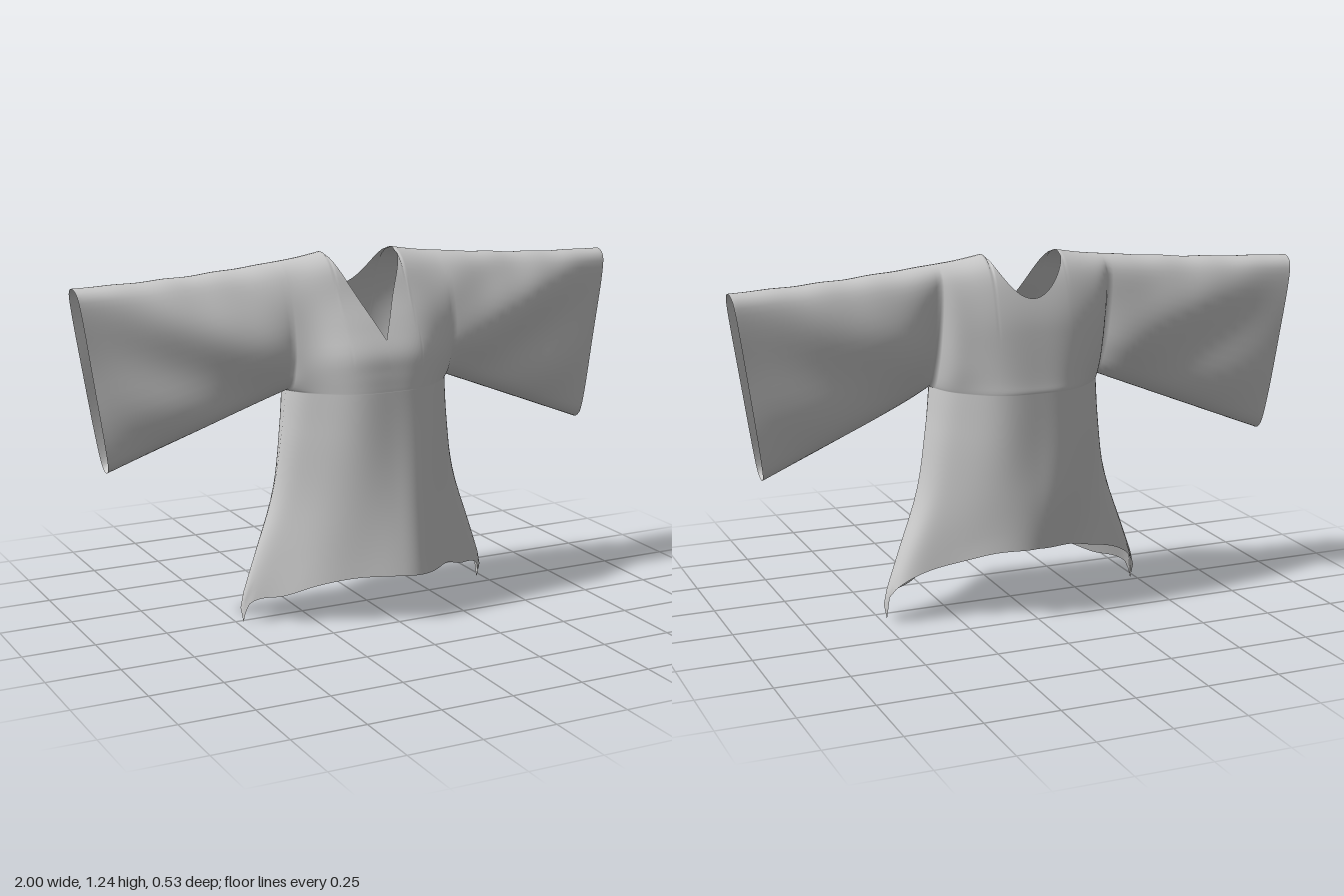
import * as THREE from 'three';

const lerp = THREE.MathUtils.lerp;
const ARMPIT = 0.79, SIDE = 0.3, ROWS = 24;

// Smooth function through a few [input, value] points
function curve(pts) {
  const n = pts.length - 1;
  const slope = i => {
    const a = pts[Math.max(i - 1, 0)], b = pts[Math.min(i + 1, n)];
    return (b[1] - a[1]) / (b[0] - a[0]);
  };
  return x => {
    if (x <= pts[0][0]) return pts[0][1];
    if (x >= pts[n][0]) return pts[n][1];
    let i = 0;
    while (x > pts[i + 1][0]) i++;
    const [x0, y0] = pts[i], [x1, y1] = pts[i + 1], h = x1 - x0, t = (x - x0) / h;
    return y0 * (1 + 2 * t) * (1 - t) ** 2 + y1 * t * t * (3 - 2 * t)
      + h * (slope(i) * t * (1 - t) ** 2 + slope(i + 1) * t * t * (t - 1));
  };
}

// Height fraction for a section parameter q: rounds the fold at both ends
const rise = q => (1 - Math.cos(Math.PI * q)) / 2;
const unrise = t => Math.acos(1 - 2 * Math.min(Math.max(t, 0), 1)) / Math.PI;

// Outline of the body
const halfWidth = curve([[0, 0.477], [0.06, 0.484], [0.2, 0.435], [0.43, 0.352], [0.65, 0.315], [ARMPIT, SIDE]]);
const ridge = curve([[0.13, 1.237], [0.22, 1.222], [SIDE, 1.213]]);

// Depth profiles: middle and armhole above the armpit (by q), middle and flank below (by y)
const panels = {
  front: {
    mid: curve([[0, 0.19], [0.12, 0.1885], [0.25, 0.183], [0.36, 0.171], [0.48, 0.125], [0.63, 0.06], [0.82, 0], [1, -0.08]]),
    armhole: curve([[0, -0.01], [0.15, 0.045], [0.25, 0.068], [0.4, 0.085], [0.6, 0.06], [0.8, 0], [1, -0.08]]),
    cuff: curve([[0, -0.1], [0.15, -0.062], [0.5, -0.055], [0.85, -0.062], [1, -0.11]]),
    lower: curve([[0.16, 0.255], [0.4, 0.23], [ARMPIT, 0.19]]),
    flank: curve([[0.05, 0.015], [0.4, 0.03], [ARMPIT, 0.068]]),
    hem: curve([[0, 0.165], [0.3, 0.158], [0.55, 0.135], [0.75, 0.095], [0.94, 0.07], [1, 0]]),
    neck: x => 0.96 + 2.05 * x,
    pinch: -0.03,
  },
  back: {
    mid: curve([[0, -0.255], [0.12, -0.2545], [0.48, -0.23], [0.63, -0.205], [0.82, -0.155], [1, -0.08]]),
    armhole: curve([[0, -0.01], [0.15, -0.09], [0.25, -0.13], [0.4, -0.17], [0.6, -0.18], [0.8, -0.15], [1, -0.08]]),
    cuff: curve([[0, -0.1], [0.15, -0.135], [0.5, -0.158], [0.85, -0.158], [1, -0.11]]),
    lower: curve([[0.25, -0.24], [0.45, -0.258], [ARMPIT, -0.255]]),
    flank: curve([[0.05, -0.07], [0.4, -0.09], [ARMPIT, -0.13]]),
    hem: curve([[0, 0.25], [0.3, 0.24], [0.55, 0.205], [0.8, 0.165], [0.93, 0.12], [0.98, 0.07], [1, 0]]),
    neck: x => 1.1 + 7.5 * x * x,
    pinch: 0.13,
  },
};

// How far the cloth is drawn in at the armhole seam
const tighten = (p, q) => p.pinch * Math.sin(Math.PI * q) * (1 - q);

// Grid surface from a point function of (u, v) in 0..1
function sheet(nu, nv, point, flip) {
  const pos = [], index = [];
  for (let j = 0; j <= nv; j++)
    for (let i = 0; i <= nu; i++) pos.push(...point(i / nu, j / nv));
  for (let j = 0; j < nv; j++)
    for (let i = 0; i < nu; i++) {
      const a = j * (nu + 1) + i, b = a + 1, c = a + nu + 1, d = c + 1;
      index.push(...(flip ? [a, d, b, a, c, d] : [a, b, d, a, d, c]));
    }
  const geo = new THREE.BufferGeometry();
  geo.setAttribute('position', new THREE.Float32BufferAttribute(pos, 3));
  geo.setIndex(index);
  geo.computeVertexNormals();
  return geo;
}

// Body panel: lower half runs hem to armpit, upper half armpit to shoulder or neckline
function bodyPanel(p, flip) {
  const dir = flip ? -1 : 1;
  return sheet(80, ROWS * 2, (a, v) => {
    const u = a * 2 - 1, e = Math.abs(u);
    // Middle depth eases to the flank, then tucks in sharply at the side seam
    const depth = (mid, flank, seam, power) =>
      lerp(flank, mid, (1 + Math.cos(Math.PI * e ** power)) / 2) + (seam - flank) * e ** 14;
    if (v >= 0.5) {
      const x = e * SIDE, top = ridge(x) - ARMPIT;
      const qTop = e < 0.449 ? unrise((p.neck(x) - ARMPIT) / top) : 1;
      const q = (v * 2 - 1) * qTop, qFlank = Math.sqrt(q * q + 0.0625 * (1 - q * q));
      const seam = p.armhole(q) + tighten(p, q);
      return [u * SIDE, ARMPIT + rise(q) * top, depth(p.mid(q), p.armhole(qFlank), seam, 1.7)];
    }
    const y = lerp(p.hem(e), ARMPIT, Math.sin(v * Math.PI)), x = u * halfWidth(y);
    const k = (ARMPIT - y) / ARMPIT, drape = THREE.MathUtils.smoothstep(k, 0, 0.8);
    // Soft hanging folds that grow toward the hem; the side tails swing apart
    const fold = flip ? 0.01 * Math.sin(x * 15 + y * 6) : 0.028 * Math.sin(x * 14);
    const swing = -0.035 * u * k ** 3;
    const z = depth(p.lower(y), p.flank(y) + swing, swing - 0.01 - 0.01 * k, lerp(1.7, 1.1, drape));
    return [x, y, z + dir * fold * drape * (1 - e * e)];
  }, flip);
}

// Wide sleeve: closed loop around front and back, from armhole to slanted cuff
function sleeve(side) {
  return sheet(40, ROWS * 2, (s, v) => {
    const isFront = v <= 0.5, p = isFront ? panels.front : panels.back;
    const q = isFront ? v * 2 : 2 - v * 2, t = rise(q);
    const low = lerp(ARMPIT, 0.55, s);
    const high = lerp(1.213, 1.17, s) - 0.008 * Math.sin(Math.PI * s) + 0.006 * Math.sin(s * 25) * s * (1 - s);
    const x = lerp(SIDE, lerp(0.91, 1, t), s);
    // Drape folds sweeping up and out from the armpit; the lower part flattens sooner
    const wave = 4 * s * (1 - s) * Math.sin(Math.PI * q) * Math.sin(9 * (t - 0.15 - 0.8 * s));
    const z = lerp(p.armhole(q), p.cuff(q), s ** lerp(0.8, 1.8, t)) + tighten(p, q) * (1 - s) ** 9;
    return [side * x, lerp(low, high, t), z + (isFront ? 0.014 : -0.008) * wave];
  }, side < 0);
}

// Share normals wherever pieces meet so the seams shade smoothly
function blendSeams(geos) {
  const sums = new Map(), v = new THREE.Vector3();
  const each = fn => geos.forEach(g => {
    const p = g.attributes.position;
    for (let i = 0; i < p.count; i++) {
      const key = [p.getX(i), p.getY(i), p.getZ(i)].map(c => Math.round(c * 1e4)).join();
      fn(key, g.attributes.normal, i);
    }
  });
  each((key, n, i) => {
    if (!sums.has(key)) sums.set(key, new THREE.Vector3());
    sums.get(key).add(v.fromBufferAttribute(n, i));
  });
  each((key, n, i) => {
    v.copy(sums.get(key)).normalize();
    n.setXYZ(i, v.x, v.y, v.z);
  });
}

export function createModel() {
  const group = new THREE.Group();
  group.name = 'wideSleevedTunic';
  const cloth = new THREE.MeshStandardMaterial({ color: 0xcccccc, side: THREE.DoubleSide });
  const parts = {
    frontPanel: bodyPanel(panels.front, false),
    backPanel: bodyPanel(panels.back, true),
    leftSleeve: sleeve(1),
    rightSleeve: sleeve(-1),
  };
  blendSeams(Object.values(parts));
  for (const [name, geo] of Object.entries(parts)) {
    const mesh = new THREE.Mesh(geo, cloth);
    mesh.name = name;
    group.add(mesh);
  }
  return group;
}
